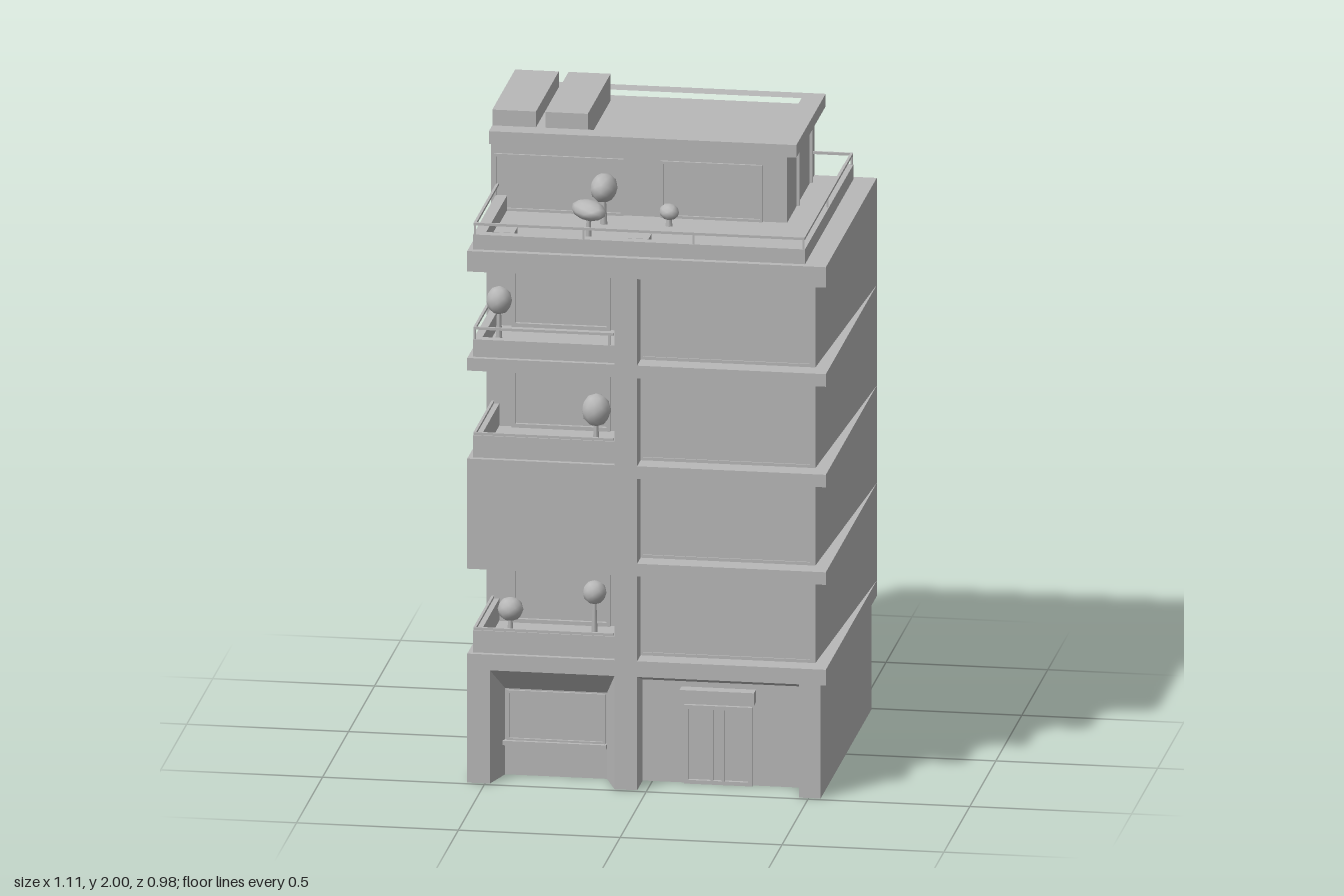
import * as THREE from 'three';

const wall = new THREE.MeshStandardMaterial({ color: 0xb8b8b8 });
wall.name = 'plainGrey';

export function createModel() {
  const model = new THREE.Group();
  model.name = 'building';

  const add = (name, geo) => {
    const mesh = new THREE.Mesh(geo, wall);
    mesh.name = name;
    model.add(mesh);
    return mesh;
  };
  // Box given by its limits on each axis
  const box = (name, x0, x1, y0, y1, z0, z1) =>
    add(name, new THREE.BoxGeometry(x1 - x0, y1 - y0, z1 - z0)
      .translate((x0 + x1) / 2, (y0 + y1) / 2, (z0 + z1) / 2));
  // Floor plan of [x, z] points raised from y0 to y1, with an optional hole
  const points = (plan) => plan.map(([x, z]) => new THREE.Vector2(x, -z));
  const raise = (name, plan, y0, y1, hole) => {
    const shape = new THREE.Shape(points(plan));
    if (hole) shape.holes.push(new THREE.Path(points(hole)));
    return add(name, new THREE.ExtrudeGeometry(shape, { depth: y1 - y0, bevelEnabled: false })
      .rotateX(-Math.PI / 2).translate(0, y0, 0));
  };
  const rect = (x0, x1, z0, z1) => [[x0, z0], [x1, z0], [x1, z1], [x0, z1]];
  // Front-facing frame of four bars
  const frame = (name, x0, x1, y0, y1, z, t = 0.008, d = 0.008) => {
    box(name, x0, x1, y1 - t, y1, z, z + d);
    box(name, x0, x1, y0, y0 + t, z, z + d);
    box(name, x0, x0 + t, y0 + t, y1 - t, z, z + d);
    box(name, x1 - t, x1, y0 + t, y1 - t, z, z + d);
  };

  // Ground floor with shop-window and entrance recesses
  raise('groundFloor', [
    [-0.555, -0.493], [0.537, -0.493], [0.537, 0.487], [0.47, 0.487], [0.455, 0.38],
    [-0.03, 0.38], [-0.03, 0.487], [-0.1, 0.487], [-0.14, 0.38], [-0.455, 0.38],
    [-0.485, 0.487], [-0.555, 0.487],
  ], 0, 0.36);
  // Sloped soffits above the recesses
  const soffit = (x0, x1, y) => {
    const s = new THREE.Shape([[0.375, y], [0.487, 0.36], [0.375, 0.36]]
      .map(([z, h]) => new THREE.Vector2(-z, h)));
    add('soffit', new THREE.ExtrudeGeometry(s, { depth: x1 - x0, bevelEnabled: false })
      .rotateY(Math.PI / 2).translate(x0, 0, 0));
  };
  soffit(-0.483, -0.1, 0.27);
  soffit(-0.03, 0.468, 0.32);
  frame('shopWindowFrame', -0.45, -0.145, 0.11, 0.27, 0.38);
  box('shopSill', -0.46, -0.14, 0.098, 0.112, 0.37, 0.4);

  // Entrance
  box('doorCanopy', 0.09, 0.32, 0.265, 0.305, 0.37, 0.42);
  frame('doorFrame', 0.1, 0.31, 0, 0.25, 0.38, 0.012, 0.012);
  for (const x of [0.185, 0.22]) box('doorPost', x - 0.005, x + 0.005, 0, 0.24, 0.38, 0.39);

  // Upper floors: tapered right-hand wall, front pier and corner balconies
  const front = [[-0.555, -0.493], [0.553, -0.493], [0.51, 0.42], [-0.03, 0.42], [-0.03, 0.487]];
  const open = [...front, [-0.1, 0.487], [-0.145, 0.12], [-0.555, 0.12]];
  const closed = [...front, [-0.555, 0.487]];
  const slabs = [[0.36, 0.41], [0.68, 0.72], [0.99, 1.03], [1.31, 1.35], [1.625, 1.69]];
  slabs.forEach(([y0, y1], i) => {
    box('floorSlab', -0.555, 0.553, y0, y1, -0.493, 0.487);
    if (i === slabs.length - 1) return;
    const top = slabs[i + 1][0];
    raise('storey', i === 1 ? closed : open, y1, top);
    frame('bayWindowFrame', -0.028, 0.5, y1 + 0.005, top - 0.005, 0.42, 0.006, 0.005);
  });

  // Bar railing through a list of corners
  const railing = (name, corners, t = 0.008) => {
    for (let i = 1; i < corners.length; i++) {
      const a = new THREE.Vector3(...corners[i - 1]), b = new THREE.Vector3(...corners[i]);
      const bar = add(name, new THREE.BoxGeometry(t, t, a.distanceTo(b) + t));
      bar.position.copy(a).lerp(b, 0.5);
      bar.lookAt(b);
    }
  };

  // Balconies: parapet, rail and window
  for (const [floor, top, rail, head] of [
    [0.41, 0.48, 0.485, 0.65], [1.03, 1.1, 1.105, 1.265], [1.35, 1.405, 1.44, 1.59],
  ]) {
    raise('balconyParapet', [[-0.54, 0.12], [-0.54, 0.47], [-0.1, 0.47], [-0.11, 0.44],
      [-0.515, 0.44], [-0.515, 0.12]], floor, top);
    railing('balconyRail', [[-0.535, rail, 0.12], [-0.535, rail, 0.465], [-0.11, rail, 0.465]]);
    frame('balconyWindowFrame', -0.475, -0.17, floor, head, 0.12, 0.012, 0.012);
    if (rail > top + 0.01) {
      for (const x of [-0.535, -0.12]) box('railPost', x - 0.003, x + 0.003, top, rail, 0.462, 0.468);
    }
  }

  // Roof terrace edge and rail
  raise('terraceParapet', [[-0.54, 0.03], [-0.54, 0.465], [0.485, 0.465], [0.485, -0.47],
    [0.455, -0.47], [0.455, 0.432], [-0.505, 0.432], [-0.505, 0.03]], 1.69, 1.737);
  railing('terraceRail', [[-0.535, 1.77, 0.03], [-0.535, 1.77, 0.46], [0.48, 1.77, 0.46],
    [0.48, 1.77, -0.465], [0.36, 1.77, -0.465]]);
  for (const [x, z] of [[-0.535, 0.46], [-0.2, 0.46], [0.14, 0.46], [0.48, 0.46], [0.48, 0], [0.48, -0.465]]) {
    box('railPost', x - 0.003, x + 0.003, 1.73, 1.77, z - 0.003, z + 0.003);
  }

  // Penthouse with overhanging roof and sunken roof deck
  box('penthouse', -0.555, 0.36, 1.69, 1.915, -0.493, 0.03);
  raise('penthouseRoof', rect(-0.555, 0.395, -0.493, 0.07), 1.91, 1.95,
    rect(-0.4, 0.33, -0.435, 0.005));
  box('roofBlock', -0.555, -0.42, 1.91, 2, -0.435, 0.005);
  box('roofBlock', -0.39, -0.26, 1.91, 2, -0.435, 0.005);
  frame('terraceWindowFrame', -0.545, -0.145, 1.69, 1.87, 0.03);
  frame('terraceWindowFrame', -0.03, 0.285, 1.69, 1.87, 0.03);
  for (const z of [-0.41, -0.16]) box('sideWindowFrame', 0.36, 0.368, 1.69, 1.87, z - 0.005, z + 0.005);
  box('sideWindowFrame', 0.36, 0.368, 1.86, 1.87, -0.405, -0.165);

  // Shrubs: faceted crown on a thin trunk, with an optional square pot
  const shrub = (x, y, z, floor, rx, ry, rz, turn = 0, pot = 0) => {
    const crown = add('shrubCrown', new THREE.IcosahedronGeometry(1, 1).scale(rx, ry, rz));
    crown.position.set(x, y, z);
    crown.rotation.y = turn;
    add('shrubTrunk', new THREE.CylinderGeometry(0.005, 0.012, y - floor, 5))
      .position.set(x, (y + floor) / 2, z);
    if (pot) box('shrubPot', x - pot, x + pot, floor, floor + 0.04, z - pot, z + pot);
  };
  shrub(-0.48, 1.495, 0.34, 1.35, 0.04, 0.045, 0.04);
  shrub(-0.18, 1.16, 0.34, 1.03, 0.045, 0.052, 0.045);
  shrub(-0.185, 0.58, 0.34, 0.41, 0.037, 0.038, 0.037);
  shrub(-0.445, 0.515, 0.34, 0.41, 0.04, 0.038, 0.04);
  shrub(-0.19, 1.805, 0.13, 1.69, 0.042, 0.045, 0.062);
  shrub(-0.2, 1.8, 0.36, 1.69, 0.045, 0.03, 0.075, 0.65);
  shrub(0.01, 1.735, 0.12, 1.69, 0.03, 0.025, 0.04, 0.4);
  for (const x of [-0.455, -0.04]) box('planter', x - 0.032, x + 0.032, 1.69, 1.73, 0.343, 0.405);

  return model;
}
